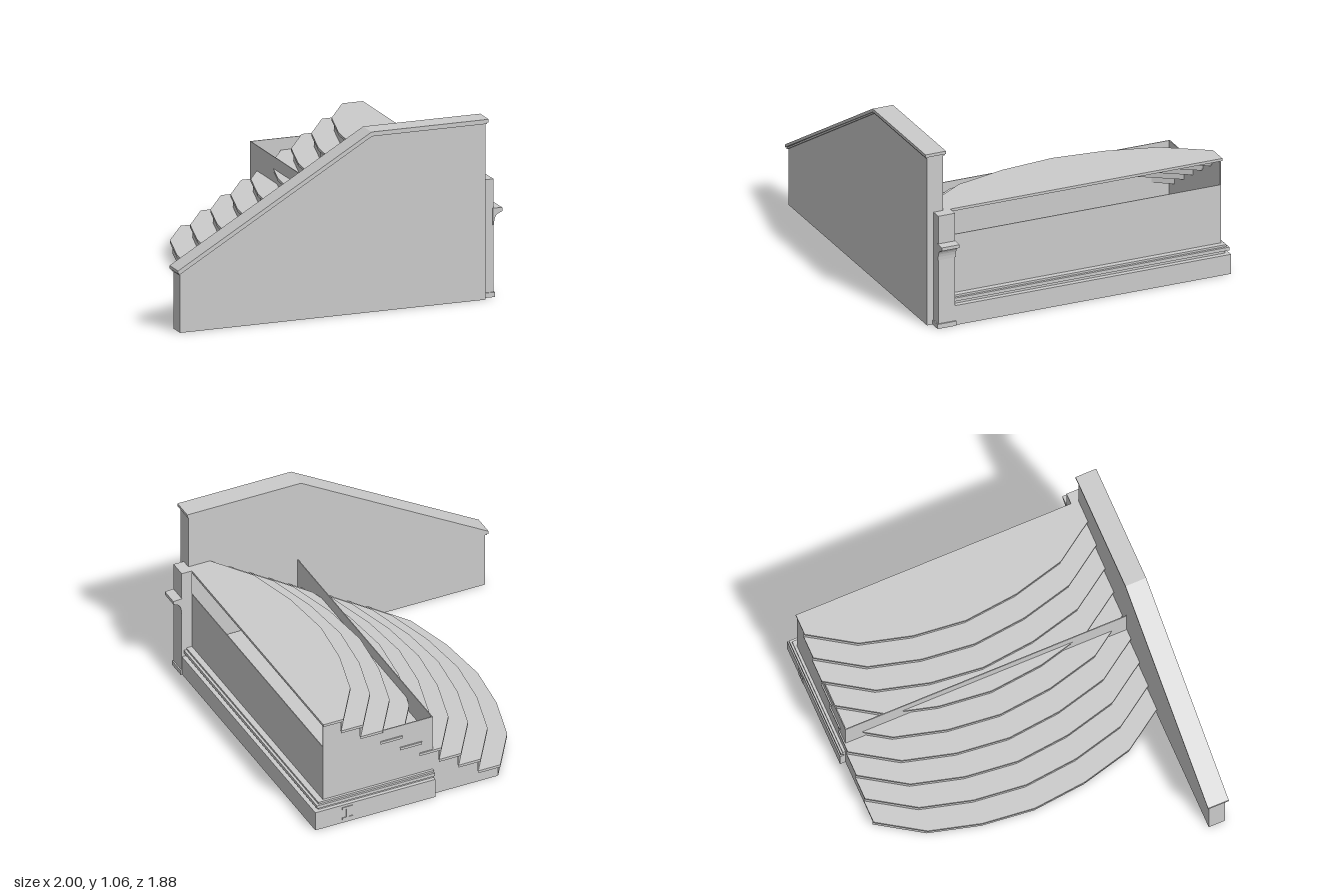
import * as THREE from 'three';

const mat = new THREE.MeshStandardMaterial({ color: 0xcccccc, flatShading: true, side: THREE.DoubleSide });
const STEPS = 9, RISE = 0.69 / STEPS, RUN = 0.123, NOSE = 0.015, SLAB = 0.016;
// curved front edge of the lowest tread, as [x, z]
const ARC = [[-0.23, -0.91], [-0.40, -0.65], [-0.48, -0.35], [-0.513, -0.04], [-0.48, 0.28], [-0.40, 0.59], [-0.24, 0.825]];
const arcAt = (dx) => ARC.map(([x, z]) => [x + dx, z]);

export function createModel() {
  const group = new THREE.Group();
  const add = (name, geo) => {
    const mesh = new THREE.Mesh(geo, mat);
    mesh.name = name;
    group.add(mesh);
    return mesh;
  };
  const box = (name, x0, x1, y0, y1, z0, z1) =>
    add(name, new THREE.BoxGeometry(x1 - x0, y1 - y0, z1 - z0)
      .translate((x0 + x1) / 2, (y0 + y1) / 2, (z0 + z1) / 2));
  const shapeOf = (pts) => new THREE.Shape(pts.map(([a, b]) => new THREE.Vector2(a, b)));
  // upright plate: outline in x and y, from z0 to z1
  const plate = (name, pts, z0, z1) =>
    add(name, new THREE.ExtrudeGeometry(shapeOf(pts), { depth: z1 - z0, bevelEnabled: false }).translate(0, 0, z0));
  // level slab: outline in x and z, from y0 to y1
  const slab = (name, pts, y0, y1) =>
    add(name, new THREE.ExtrudeGeometry(shapeOf(pts.map(([x, z]) => [x, -z])), { depth: y1 - y0, bevelEnabled: false })
      .rotateX(-Math.PI / 2).translate(0, y0, 0));
  // thin upright strip along a path in x and z
  const ribbon = (name, pts, y0, y1) => {
    const pos = [], idx = [];
    pts.forEach(([x, z], i) => {
      pos.push(x, y0, z, x, y1, z);
      const a = 2 * i;
      if (i < pts.length - 1) idx.push(a, a + 1, a + 2, a + 1, a + 3, a + 2);
    });
    const geo = new THREE.BufferGeometry();
    geo.setAttribute('position', new THREE.Float32BufferAttribute(pos, 3));
    geo.setIndex(idx);
    geo.computeVertexNormals();
    add(name, geo);
  };

  // curved risers and overhanging treads, ending in the landing
  for (let k = 0; k < STEPS; k++) {
    const top = (k + 1) * RISE, last = k === STEPS - 1;
    ribbon('riser', arcAt(k * RUN + NOSE), k * RISE, top - SLAB / 2);
    const back = last ? [[0.88, -0.91], [0.88, 0.825]] : arcAt((k + 1) * RUN + NOSE);
    slab(last ? 'landing' : 'tread', [...arcAt(k * RUN), ...back.reverse()], top - SLAB, top);
  }

  // stepped end panel, widened to the height of the enclosure
  const BOX_X = 0.19, BOX_Y = 0.53;
  const outline = [[0.88, 0], [ARC[0][0] + NOSE, 0]];
  let level = 0;
  for (let k = 0; k < STEPS; k++) {
    const x = ARC[0][0] + NOSE + k * RUN, y = (k + 1) * RISE - 0.004;
    if (x > BOX_X && level < BOX_Y) {
      if (outline[outline.length - 1][1] < BOX_Y) outline.push([BOX_X, level], [BOX_X, BOX_Y]);
      if (y < BOX_Y) continue;
      level = BOX_Y;
    }
    outline.push([x, level], [x, y]);
    level = y;
  }
  outline.push([0.88, level]);
  plate('endPanel', outline, -0.902, -0.896);

  // open-topped enclosure under the stairs
  box('innerPanel', BOX_X, BOX_X + 0.005, 0, BOX_Y, -0.9, 0.825);
  box('outerPanel', 0.875, 0.88, 0.12, BOX_Y, -0.9, 0.825);

  // plinth with a stepped moulding
  box('plinth', BOX_X, 0.943, 0, 0.12, -0.935, 0.8);
  box('plinthGroove', BOX_X, 0.912, 0.12, 0.14, -0.912, 0.8);
  box('plinthMoulding', BOX_X, 0.93, 0.14, 0.16, -0.93, 0.8);
  box('plinthFillet', BOX_X, 0.915, 0.16, 0.172, -0.918, 0.8);
  // small ornament on the plinth end
  box('ornamentStem', 0.735, 0.75, 0.02, 0.1, -0.94, -0.93);
  for (const y of [0.02, 0.09]) box('ornamentBar', 0.71, 0.775, y, y + 0.015, -0.94, -0.93);

  // tall side wall with sloping top
  plate('sideWall', [[-0.98, 0], [0.88, 0], [0.88, 1.04], [0.185, 1.04], [-0.98, 0.35]], 0.825, 0.925);
  // coping in two layers, the lower one narrower
  const coping = (name, lo, hi, out, z0, z1) => plate(name, [
    [-0.985 - out, 0.34 + lo], [0.185, 1.03 + lo], [0.88 + out, 1.03 + lo],
    [0.88 + out, 1.03 + hi], [0.18, 1.03 + hi], [-0.985 - out, 0.34 + hi]], z0, z1);
  coping('copingLower', 0, 0.012, 0.005, 0.819, 0.933);
  coping('copingUpper', 0.01, 0.028, 0.013, 0.813, 0.94);

  // post with a foot and a curved bracket
  box('post', 0.88, 0.944, 0, 0.69, 0.78, 0.885);
  box('postFoot', 0.878, 0.952, 0, 0.028, 0.775, 0.892);
  const bracket = new THREE.Shape();
  bracket.moveTo(0.94, 0.42);
  bracket.lineTo(0.946, 0.42);
  bracket.quadraticCurveTo(0.948, 0.475, 0.972, 0.485);
  bracket.lineTo(0.998, 0.497);
  bracket.lineTo(0.998, 0.517);
  bracket.lineTo(0.94, 0.52);
  add('postBracket', new THREE.ExtrudeGeometry(bracket, { depth: 0.11, bevelEnabled: false, curveSegments: 5 })
    .translate(0, 0, 0.777));

  return group;
}
